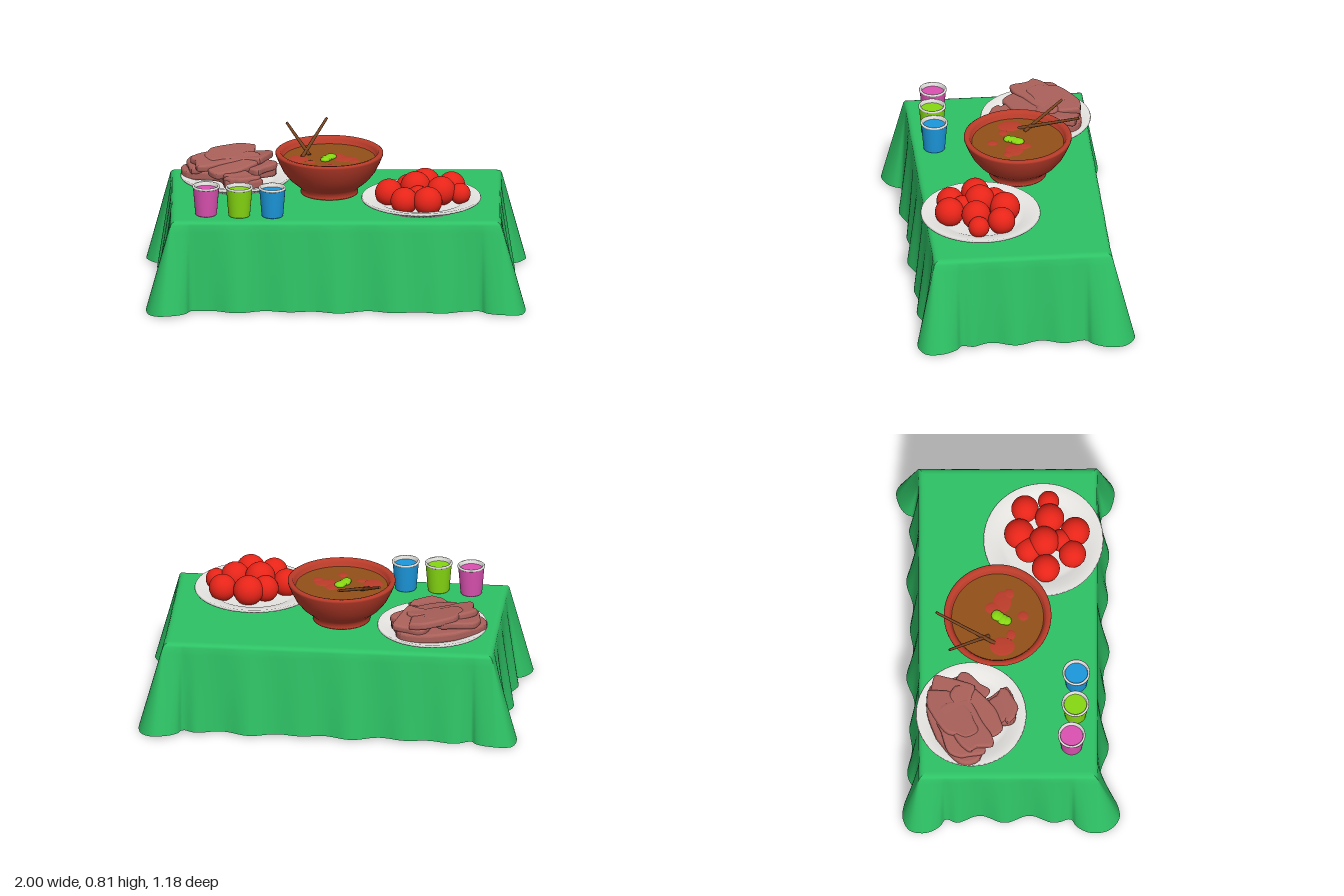
import * as THREE from 'three';

const mat = (name, color, side = THREE.FrontSide) => {
  const m = new THREE.MeshStandardMaterial({ color, side });
  m.name = name;
  return m;
};
const clamp = THREE.MathUtils.clamp;

// Tablecloth: a flat top, a soft shoulder, and a skirt flaring to a wavy hem
function clothGeometry() {
  const corner = [[.925, .33], [.965, .36], [1, .43], [.985, .53], [.92, .587], [.84, .575], [.79, .54], [.765, .495]];
  const hem = [];
  const add = (x, z) => hem.push(new THREE.Vector3(x, 0, z));
  const addCorner = (sx, sz, reach) => (sx * sz > 0 ? corner : [...corner].reverse()).forEach(([x, z]) =>
    add(sx * x, sz * (z > .5 ? .5 + (z - .5) * reach : z)));
  const endWave = (z, p) => .925 + .02 * Math.sin(z * 24 + p);
  const longWave = (x, p) => .513 + .014 * Math.sin(x * 23 + p) + .01 * Math.sin(x * 13 + p * 2);
  const steps = (n, lim, f) => {
    for (let i = 0; i <= n; i++) f(-lim + 2 * lim * i / n);
  };
  steps(12, .27, z => add(endWave(z, .6), z));
  addCorner(1, 1, .7);
  steps(30, .7, x => add(-x, longWave(-x, 1) - .012 * x));
  addCorner(-1, 1, 1);
  steps(12, .27, z => add(-endWave(-z, 2), -z));
  addCorner(-1, -1, .65);
  steps(30, .7, x => add(x, -longWave(x, 4.6)));
  addCorner(1, -1, 1);

  const n = 400;
  const loop = new THREE.CatmullRomCurve3(hem, true).getSpacedPoints(n).slice(0, n);
  // Each row: height, half width, half depth, amount of flare
  const rows = [[.494, 0, 0, 0], [.494, .835, .435, 0], [.492, .852, .452, 0], [.486, .864, .464, .01], [.474, .87, .47, .03]];
  for (let i = 1; i <= 12; i++) rows.push([.474 * (1 - i / 12), .87, .47, .03 + .97 * i / 12]);
  const pos = [], index = [];
  rows.forEach(([y, w, d, f], r) => loop.forEach((p, j) => {
    const cx = clamp(p.x, -w, w), cz = clamp(p.z, -d, d);
    const atCorner = clamp((Math.abs(p.x) - .9) * 12, 0, 1) * clamp((Math.abs(p.z) - .4) * 8, 0, 1);
    pos.push(cx + (p.x - cx) * f, y + .01 * f * (1 - atCorner), cz + (p.z - cz) * f);
    if (r) {
      const k = (j + 1) % n, a = (r - 1) * n;
      index.push(a + j, a + k, a + n + j, a + k, a + n + k, a + n + j);
    }
  }));
  const g = new THREE.BufferGeometry();
  g.setAttribute('position', new THREE.Float32BufferAttribute(pos, 3));
  g.setIndex(index);
  g.computeVertexNormals();
  return g;
}

const lathe = (pts, seg = 48) => new THREE.LatheGeometry(pts.map(p => new THREE.Vector2(...p)), seg);

// Flat slab of meat with a bevelled edge, from its outline
function slabGeometry(outline, depth, bevel) {
  const curve = new THREE.SplineCurve([...outline, outline[0]].map(p => new THREE.Vector2(...p)));
  const shape = new THREE.Shape().setFromPoints(curve.getPoints(outline.length * 4).slice(0, -1));
  const g = new THREE.ExtrudeGeometry(shape,
    { depth, bevelSize: bevel, bevelOffset: -bevel, bevelThickness: bevel, bevelSegments: 3 });
  return g.rotateX(-Math.PI / 2);
}

// Uneven oblong outline of one slice
function sliceOutline(len, wid, seed) {
  return Array.from({ length: 11 }, (_, i) => {
    const a = i / 11 * Math.PI * 2;
    const k = 1 + .1 * Math.sin(i * 2.3 + seed * 1.7) + .07 * Math.cos(i * 4.1 + seed);
    const round = v => Math.sign(v) * Math.abs(v) ** .7 * k;
    return [round(Math.cos(a)) * len, round(Math.sin(a)) * wid];
  });
}

export function createModel() {
  const model = new THREE.Group();
  const cloth = mat('green cloth', 0x2ec265, THREE.DoubleSide);
  const white = mat('white china', 0xe8e7e4);
  const red = mat('bright red', 0xf0261a);
  const clay = mat('red clay', 0xbc3c2a);
  const broth = mat('brown broth', 0x925018);
  const meat = mat('cooked meat', 0xaa605a);
  const wood = mat('dark wood', 0x784420);
  const pink = mat('pink', 0xdc52b2);
  const lime = mat('lime', 0x86d812);
  const blue = mat('blue', 0x1c98dc);

  const put = (name, geo, material, x = 0, y = 0, z = 0, parent = model) => {
    const m = new THREE.Mesh(geo, material);
    m.name = name;
    m.position.set(x, y, z);
    parent.add(m);
    return m;
  };
  const group = name => {
    const g = new THREE.Group();
    g.name = name;
    model.add(g);
    return g;
  };

  put('tablecloth', clothGeometry(), cloth);

  // Plates
  const plate = r => lathe([[0, 0], [r * .68, 0], [r * .7, .01], [r * .85, .028], [r * .985, .04], [r, .047],
    [r * .985, .056], [r * .85, .046], [r * .72, .036], [r * .64, .024], [0, .02]], 64);
  put('fruitPlate', plate(.317), white, .45, .496, .187);
  put('meatPlate', plate(.292), white, -.53, .496, -.195);

  // Pile of round red fruit: x, y, z, radius
  const fruit = group('fruit');
  [[.47, .582, .06, .08], [.61, .58, .09, .072], [.385, .575, .11, .07], [.28, .573, .2, .074],
    [.42, .605, .19, .08], [.555, .59, .22, .077], [.655, .573, .215, .056], [.36, .572, .34, .072],
    [.485, .575, .355, .077], [.435, .575, .28, .06]]
    .forEach(([x, y, z, r]) => put('redFruit', new THREE.SphereGeometry(r, 28, 18), red, x, y, z, fruit));

  // Heap of meat, outlined in x and -z around its middle
  const slices = group('meatSlices');
  const heap = [[.06, .2], [.2, .18], [.24, .07], [.26, -.02], [.13, -.1], [.18, -.19], [.19, -.23], [.1, -.27],
    [0, -.26], [-.02, -.17], [-.06, -.11], [-.21, -.08], [-.23, .03], [-.09, .15]].reverse();
  put('meatHeap', slabGeometry(heap, .024, .014), meat, -.58, .545, -.23, slices);
  // Slices on top: x, y, z, half length, half width, turn
  [[-.66, .595, -.25, .14, .1, .6], [-.56, .62, -.3, .16, .085, .75], [-.45, .6, -.3, .12, .1, 1.2],
    [-.43, .58, -.22, .1, .1, .9], [-.53, .6, -.17, .17, .08, .75], [-.49, .57, -.01, .09, .05, .3],
    [-.54, .575, -.08, .12, .07, -.95], [-.62, .615, -.22, .16, .09, .65]]
    .forEach(([x, y, z, l, w, turn], i) => {
      const s = put('meatSlice', slabGeometry(sliceOutline(l, w, i), .014, .012), meat, x, y, z, slices);
      s.rotation.set(.12 * Math.sin(i * 2.1), turn, .1 * Math.cos(i * 1.6), 'YXZ');
    });

  // Soup bowl with broth, chunks, garnish and sticks
  const bowl = group('soupBowl');
  bowl.position.set(-.035, .495, -.055);
  put('bowl', lathe([[0, 0], [.15, 0], [.152, .008], [.146, .026], [.168, .045], [.21, .08], [.243, .122], [.268, .172],
    [.284, .212], [.284, .222], [.276, .228], [.258, .225], [.25, .21], [.235, .17], [0, .165]], 64), clay, 0, 0, 0, bowl);
  put('broth', new THREE.CylinderGeometry(.247, .242, .008, 48), broth, 0, .186, 0, bowl);
  [[-.165, .025, .055, .07], [.085, .025, .065, .05], [.13, .06, .03, .03], [.005, .135, .028, .03],
    [.05, -.02, .035, .05], [-.1, .07, .03, .025]].forEach(([x, z, rx, rz]) => {
    put('soupChunk', new THREE.SphereGeometry(1, 20, 10), clay, x, .188, z, bowl).scale.set(rx, .006, rz);
  });
  [[-.022, .048, .026], [0, .01, .028], [.008, -.004, .03], [-.015, .028, .03]].forEach(([x, z, r]) => {
    put('garnish', new THREE.SphereGeometry(1, 12, 8), lime, x, .195, z, bowl).scale.set(r, .015, r);
  });
  const stick = (a, b) => {
    const line = new THREE.LineCurve3(new THREE.Vector3(...a), new THREE.Vector3(...b));
    const dir = line.getTangent(0);
    const mid = line.getPoint(.5);
    const s = put('chopstick', new THREE.CylinderGeometry(.007, .01, line.getLength(), 8), wood, mid.x, mid.y, mid.z);
    s.quaternion.setFromUnitVectors(new THREE.Vector3(0, 1, 0), dir.negate());
  };
  stick([-.05, .8, -.38], [-.18, .682, -.07]);
  stick([-.26, .797, -.31], [-.14, .685, -.1]);

  // Cups with pale rims, filled with colour
  [[-.685, .335, pink], [-.51, .355, lime], [-.335, .36, blue]].forEach(([x, z, colour]) => {
    const cup = group('cup');
    cup.position.set(x, .495, z);
    put('cupBody', lathe([[0, 0], [.054, 0], [.057, .005], [.069, .15]], 32), colour, 0, 0, 0, cup);
    put('cupRim', lathe([[.069, .149], [.073, .152], [.073, .158], [.069, .162], [.061, .16], [.058, .13]], 32), white, 0, 0, 0, cup);
    put('drink', new THREE.CylinderGeometry(.06, .058, .006, 32), colour, 0, .139, 0, cup);
  });

  return model;
}
